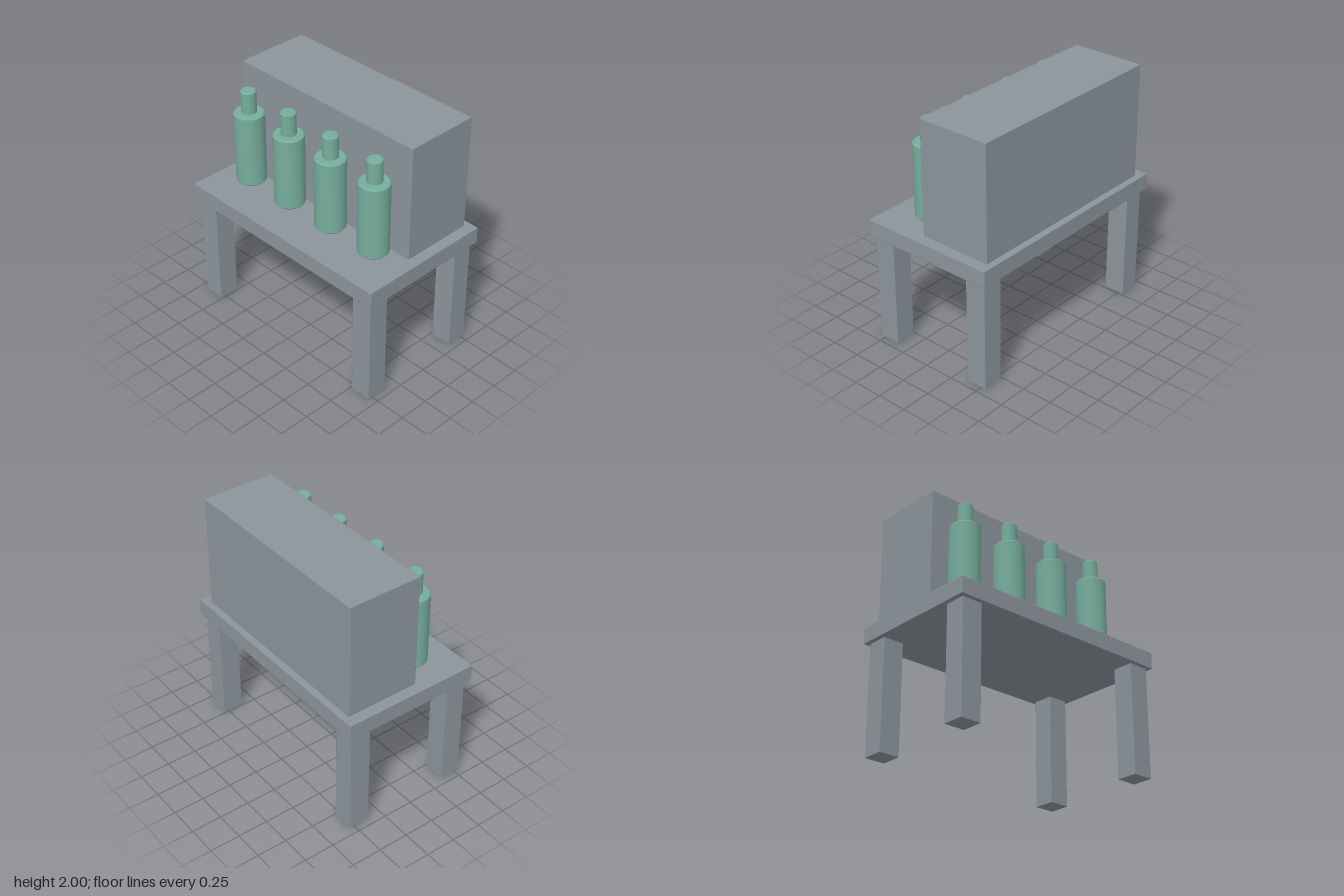
import * as THREE from 'three';
import { toCreasedNormals } from 'three/addons/utils/BufferGeometryUtils.js';
import { RoundedBoxGeometry } from 'three/addons/geometries/RoundedBoxGeometry.js';

export function createModel() {
  const model = new THREE.Group();
  model.name = 'bottleTable';

  const grey = new THREE.MeshStandardMaterial({ name: 'slateGrey', color: 0x8b949b });
  const green = new THREE.MeshStandardMaterial({ name: 'bottleGreen', color: 0x76ad9c });

  // Box with slightly eased edges, given by its minimum and maximum corners
  function box(name, [x0, y0, z0], [x1, y1, z1], ease) {
    const geometry = new RoundedBoxGeometry(x1 - x0, y1 - y0, z1 - z0, 1, ease);
    const mesh = new THREE.Mesh(geometry, grey);
    mesh.position.set((x0 + x1) / 2, (y0 + y1) / 2, (z0 + z1) / 2);
    mesh.name = name;
    model.add(mesh);
  }

  // Table top and the tall cabinet standing at its back
  box('tableTop', [-0.976, 0.91, -0.575], [0.976, 1.05, 0.575], 0.006);
  box('cabinet', [-0.887, 1.045, -0.521], [0.887, 2, 0.095], 0.006);

  // Four square legs
  for (const [zName, z] of [['front', 0.453], ['back', -0.453]]) {
    for (const [xName, x] of [['Left', 0.852], ['Right', -0.852]]) {
      const h = 0.0875;
      box(`${zName}${xName}Leg`, [x - h, 0, z - h], [x + h, 0.915, z + h], 0.003);
    }
  }

  // Bottle profile: chamfered body, flat shoulder and narrow neck
  const profile = [
    [0, 1.08], [0.108, 1.08], [0.122, 1.094], [0.122, 1.684], [0.11, 1.696],
    [0.061, 1.696], [0.061, 1.873], [0.052, 1.882], [0, 1.882],
  ].map(([r, y]) => new THREE.Vector2(r, y));
  const bottleGeometry = toCreasedNormals(new THREE.LatheGeometry(profile, 24), 0.5);

  // Row of four bottles in front of the cabinet
  for (let i = 0; i < 4; i++) {
    const bottle = new THREE.Mesh(bottleGeometry, green);
    bottle.name = `bottle${i + 1}`;
    bottle.position.set(-0.675 + i * 0.445, 0, 0.231);
    model.add(bottle);
  }

  return model;
}
